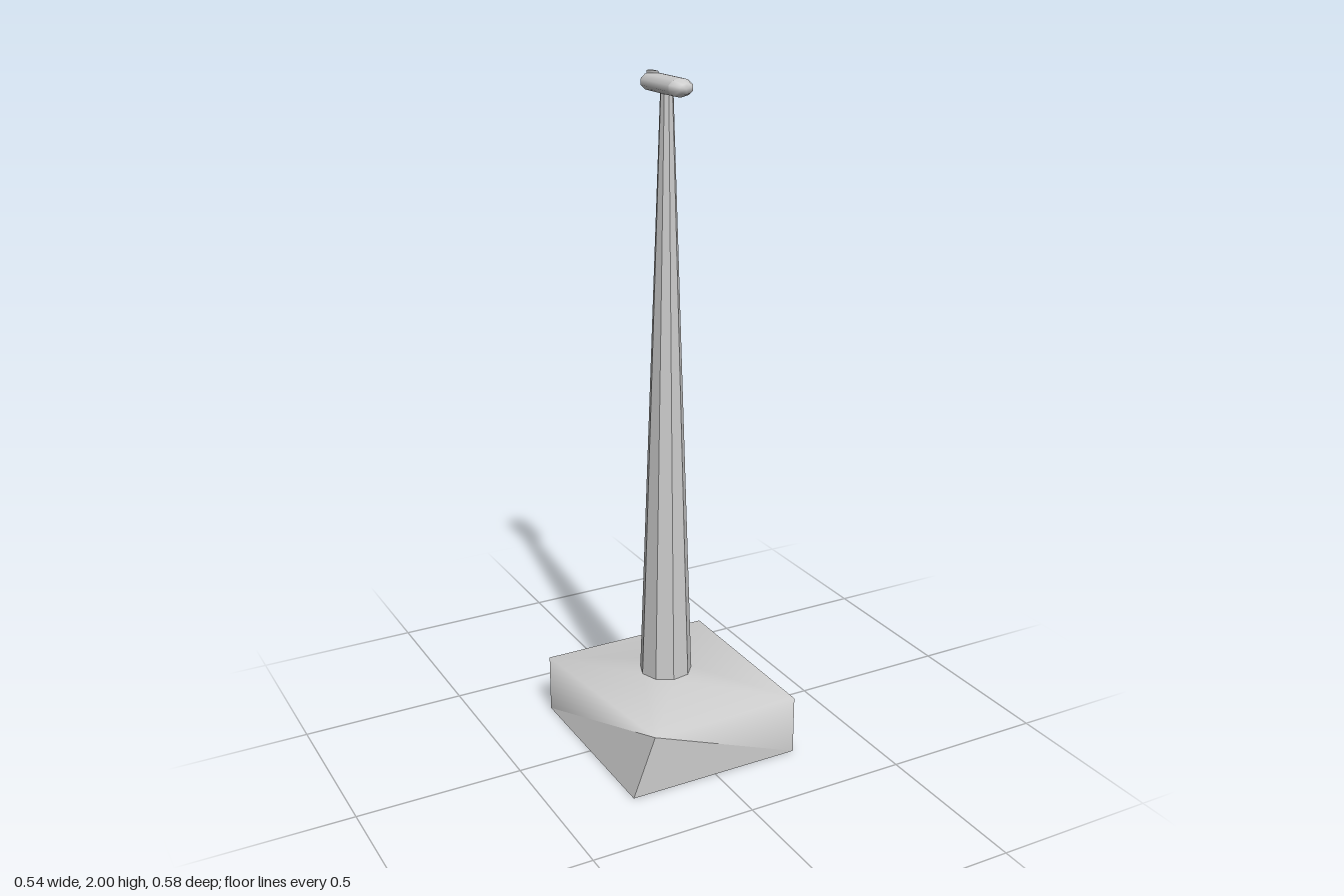
import * as THREE from 'three';

const material = new THREE.MeshStandardMaterial({ color: 0xcccccc, side: THREE.DoubleSide });

// Mesh from corner points and triangles; flat splits the faces
function build(name, points, faces, flat) {
  let geo = new THREE.BufferGeometry();
  geo.setAttribute('position', new THREE.Float32BufferAttribute(points.flat(), 3));
  geo.setIndex(faces.flat());
  if (flat) geo = geo.toNonIndexed();
  geo.computeVertexNormals();
  const mesh = new THREE.Mesh(geo, material);
  mesh.name = name;
  return mesh;
}

// Tower ring: nine-sided with one corner skipped
const SIDES = 8;
const ring = (cx, cz, r, y) => Array.from({ length: SIDES }, (_, i) => {
  const a = THREE.MathUtils.degToRad(20 + 40 * i);
  return [cx + r * Math.cos(a), y, cz + r * Math.sin(a)];
});

export function createModel() {
  const model = new THREE.Group();
  const foot = ring(-0.014, 0.005, 0.079, 0.22);
  const head = ring(-0.009, 0.005, 0.018, 1.96);

  // Tapering tower, open at both ends
  const sides = [];
  for (let i = 0; i < SIDES; i++) {
    const j = (i + 1) % SIDES;
    sides.push([i, i + SIDES, j + SIDES], [i, j + SIDES, j]);
  }
  model.add(build('tower', [...foot, ...head], sides, true));

  // Base corners, one top corner pulled inward; hollow underneath
  const lower = [[0.27, 0, 0.29], [-0.27, 0, 0.29], [-0.27, 0, -0.29], [0.27, 0, -0.29]];
  const upper = lower.map(([x, , z], k) => [k === 1 ? -0.2 : x, 0.18, z]);
  const points = [...foot, ...upper, ...lower];
  const U = (k) => SIDES + (k % 4);
  const L = (k) => SIDES + 4 + (k % 4);

  // Sloped top rising to the tower, running smoothly into the two skewed walls
  const slope = [[L(0), U(0), U(1)], [U(1), U(2), L(2)]];
  for (let k = 0; k < 4; k++) {
    const r = (n) => (2 * k + n) % SIDES;
    slope.push([U(k), r(0), r(1)], [U(k), r(1), r(2)], [U(k), r(2), U(k + 1)]);
  }
  model.add(build('baseTop', points, slope, false));

  // Flat walls of the base
  const walls = [[L(0), U(1), L(1)], [L(1), U(1), L(2)]];
  for (const k of [2, 3]) walls.push([L(k), U(k), U(k + 1)], [L(k), U(k + 1), L(k + 1)]);
  model.add(build('baseWalls', points, walls, true));

  // Nacelle: faceted capsule lying along z
  const profile = [[0, -0.102], [0.022, -0.1], [0.038, -0.087], [0.038, -0.086],
    [0.038, 0.074], [0.038, 0.075], [0.021, 0.107], [0, 0.107]]
    .map(([r, z]) => new THREE.Vector2(r, z));
  const shell = new THREE.LatheGeometry(profile, 10);
  shell.rotateX(Math.PI / 2);
  shell.scale(1, 0.68, 1);
  const nacelle = new THREE.Mesh(shell, material);
  nacelle.name = 'nacelle';
  nacelle.position.set(-0.005, 1.969, 0);
  model.add(nacelle);

  // Small wedge on the rear roof of the nacelle
  model.add(build('roofWedge',
    [[-0.022, 1.99, -0.088], [-0.005, 1.99, -0.088], [-0.005, 1.99, -0.048],
      [-0.022, 2, -0.086], [-0.005, 2, -0.086], [-0.005, 2, -0.05]],
    [[3, 5, 4], [0, 3, 4], [0, 4, 1], [1, 4, 5], [1, 5, 2], [2, 5, 3], [2, 3, 0]], true));

  return model;
}
